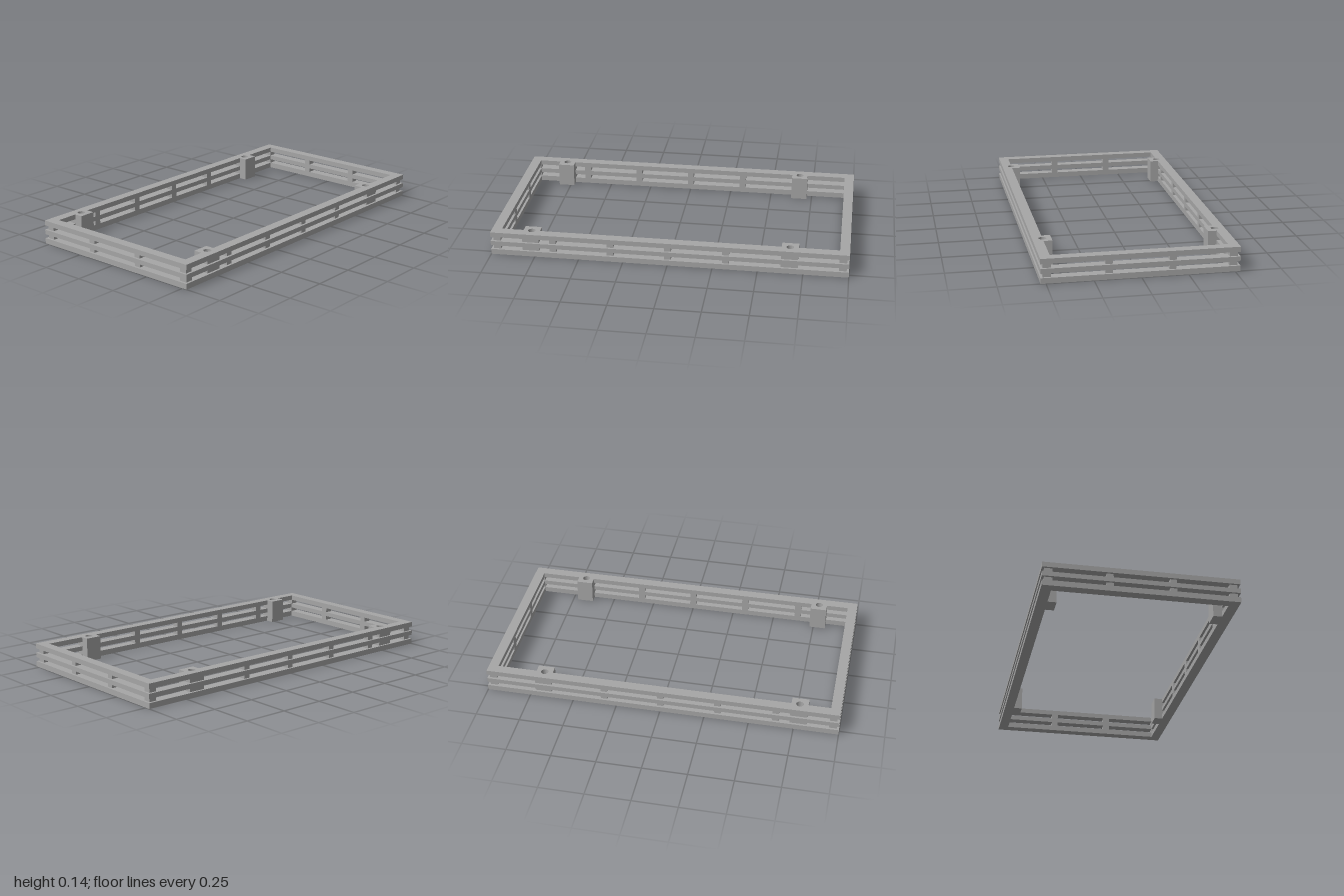
import * as THREE from 'three';

const X = 0.528, Z = 1, IX = 0.472, IZ = 0.945; // outer and inner half sizes
const INSET = 0.013;                            // spacers sit back from the outer edge
const LEVELS = [0, 0.031, 0.055, 0.081, 0.107, 0.135];
const PAD_X = 0.424, PAD_HALF = 0.047, HOLE_R = 0.021;
const POST_Z = [-0.674, 0.774];

// Extrude a plan drawn as (x, z) upward between two heights
function slab(shape, y0, y1, material, name) {
  const geo = new THREE.ExtrudeGeometry(shape, { depth: y1 - y0, bevelEnabled: false, curveSegments: 16 });
  geo.rotateX(Math.PI / 2); // plan y becomes z, depth goes down
  geo.translate(0, y1, 0);
  const mesh = new THREE.Mesh(geo, material);
  mesh.name = name;
  return mesh;
}

function screwHole(x, z) {
  return new THREE.Path().absarc(x, z, HOLE_R, 0, Math.PI * 2, true);
}

function rectangle(x0, x1, z0, z1) {
  const v = (x, z) => new THREE.Vector2(x, z);
  return new THREE.Shape([v(x0, z0), v(x1, z0), v(x1, z1), v(x0, z1)]);
}

// Frame plan whose inner edge steps in around the four posts
function framePlan(withHoles) {
  const shape = rectangle(-X, X, -Z, Z);
  const side = [[IX, -IZ]];
  for (const z of POST_Z) {
    side.push([IX, z - PAD_HALF], [PAD_X, z - PAD_HALF], [PAD_X, z + PAD_HALF], [IX, z + PAD_HALF]);
  }
  side.push([IX, IZ]);
  const other = side.map(([x, z]) => [-x, z]).reverse();
  shape.holes.push(new THREE.Path([...side, ...other].map(([x, z]) => new THREE.Vector2(x, z))));
  if (withHoles) {
    for (const s of [-1, 1]) for (const z of POST_Z) shape.holes.push(screwHole(s * IX, z));
  }
  return shape;
}

export function createModel() {
  const group = new THREE.Group();
  const grey = new THREE.MeshStandardMaterial({ color: 0xa6a6a6 });
  grey.name = 'grey';

  // Three stacked rails
  ['bottomRail', 'middleRail', 'topRail'].forEach((name, i) => {
    group.add(slab(framePlan(i > 0), LEVELS[2 * i], LEVELS[2 * i + 1], grey, name));
  });

  // Spacers and posts in the two gaps
  for (const [y0, y1] of [[LEVELS[1], LEVELS[2]], [LEVELS[3], LEVELS[4]]]) {
    const block = (name, x, z, w, d) => {
      const mesh = new THREE.Mesh(new THREE.BoxGeometry(w, y1 - y0, d), grey);
      mesh.position.set(x, (y0 + y1) / 2, z);
      mesh.name = name;
      group.add(mesh);
    };
    const w = X - INSET - IX, d = Z - INSET - IZ;
    const cx = IX + w / 2, cz = IZ + d / 2;
    for (const s of [-1, 1]) {
      for (const t of [-1, 1]) {
        block('cornerSpacer', s * cx, t * cz, w, d);
        block('endSpacer', s * 0.169, t * cz, 0.037, d);
      }
      for (const z of [-0.323, 0, 0.323, 0.648]) block('sideSpacer', s * cx, z, w, 0.037);

      // Screw posts
      for (const z of POST_Z) {
        const a = s * PAD_X, b = s * (X - INSET);
        const plan = rectangle(Math.min(a, b), Math.max(a, b), z - PAD_HALF, z + PAD_HALF);
        plan.holes.push(screwHole(s * IX, z));
        group.add(slab(plan, y0, y1, grey, 'screwPost'));
      }
    }
  }
  return group;
}
